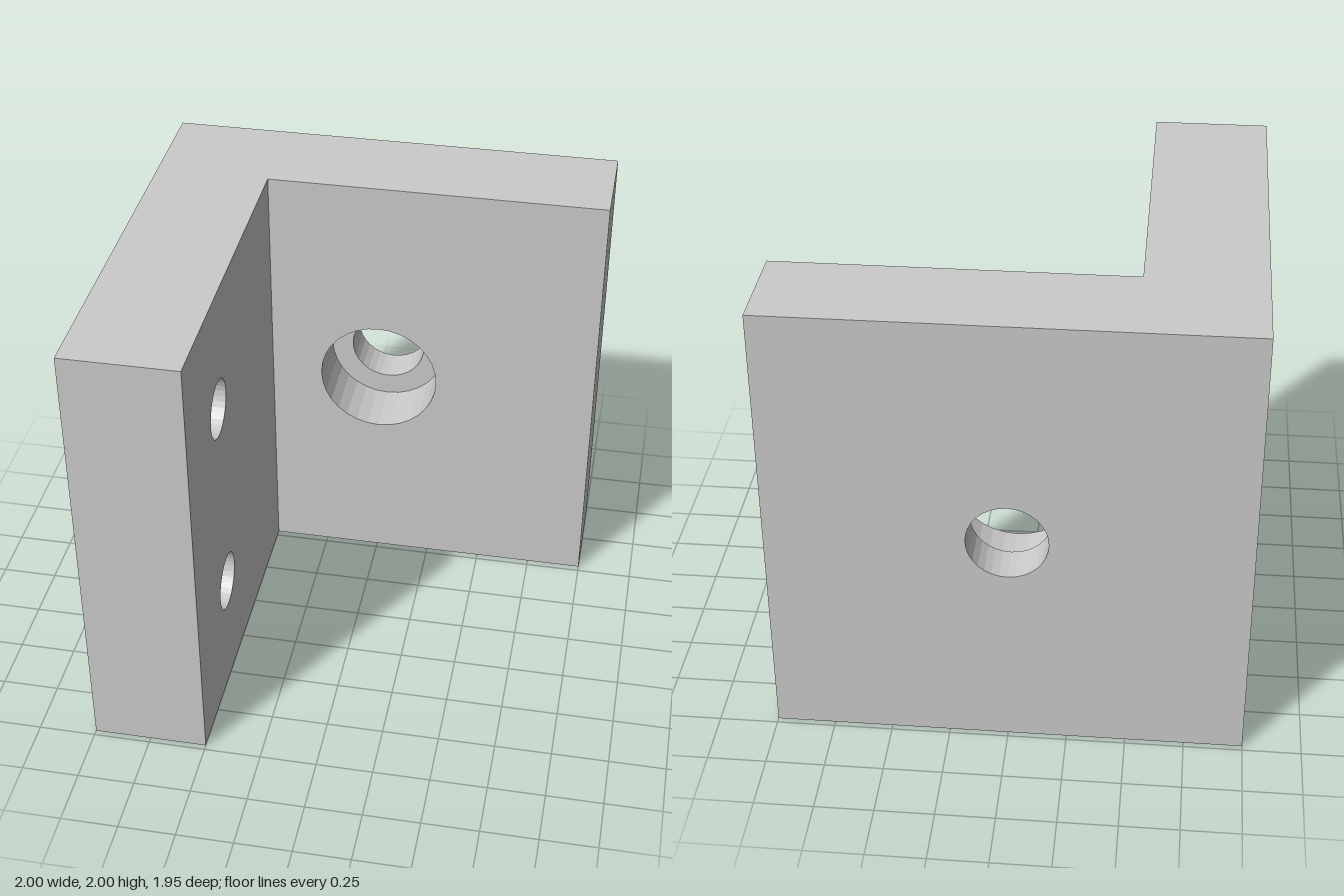
import * as THREE from 'three';

const HEIGHT = 2;
const BACK = -0.975, FRONT = 0.975; // z extent
const STEP = -0.8;                  // floor of the counterbore
const INNER_Z = -0.53;              // inner face of the back plate
const INNER_X = -0.5;               // inner face of the side plate

// Rectangular plate from u0 to u1, full height, with round holes [u, y, radius]
function plateGeometry(u0, u1, depth, holes) {
  const shape = new THREE.Shape([
    new THREE.Vector2(u0, 0), new THREE.Vector2(u1, 0),
    new THREE.Vector2(u1, HEIGHT), new THREE.Vector2(u0, HEIGHT),
  ]);
  for (const [u, y, r] of holes) {
    shape.holes.push(new THREE.Path().absarc(u, y, r, 0, Math.PI * 2, true));
  }
  return new THREE.ExtrudeGeometry(shape, { depth, bevelEnabled: false, curveSegments: 16 });
}

export function createModel() {
  const group = new THREE.Group();
  group.name = 'angleBracket';
  const material = new THREE.MeshStandardMaterial({ color: 0xcccccc, flatShading: true });
  const add = (name, geometry) => {
    const mesh = new THREE.Mesh(geometry, material);
    mesh.name = name;
    group.add(mesh);
  };

  // Back plate in two layers: narrow bolt hole behind, wide counterbore in front
  add('backPlateBoltHole',
    plateGeometry(-1, 1, STEP - BACK, [[0, 1, 0.17]]).translate(0, 0, BACK));
  add('backPlateCounterbore',
    plateGeometry(-1, 1, INNER_Z - STEP, [[0, 1, 0.27]]).translate(0, 0, STEP));

  // Side plate with two screw holes, turned so its width runs along z
  add('sidePlate',
    plateGeometry(INNER_Z, FRONT, INNER_X + 1, [[0.475, 0.53, 0.13], [0.475, 1.47, 0.13]])
      .rotateY(-Math.PI / 2).translate(INNER_X, 0, 0));

  return group;
}
